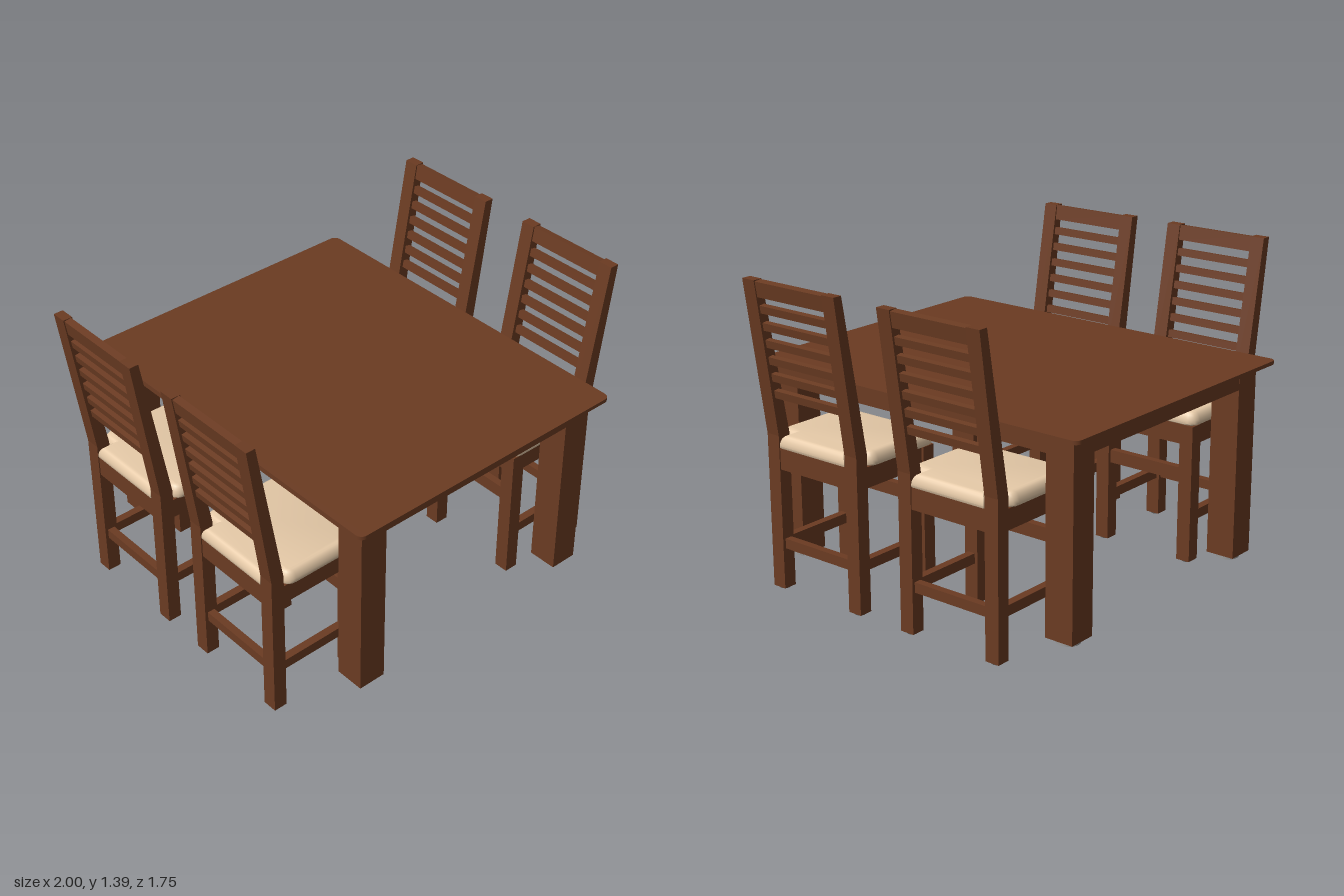
import * as THREE from 'three';
import { toCreasedNormals } from 'three/addons/utils/BufferGeometryUtils.js';

const mat = (name, color) => Object.assign(new THREE.MeshStandardMaterial({ color }), { name });
const wood = mat('brown wood', 0x6b3b22);
const fabric = mat('beige fabric', 0xe6caa8);
const steel = mat('grey metal', 0x9a9a9a);
const rubber = mat('dark rubber', 0x585858);

function add(parent, name, geometry, material) {
  const mesh = new THREE.Mesh(geometry, material);
  mesh.name = name;
  parent.add(mesh);
  return mesh;
}

// Box given by its limits on each axis
function box(parent, name, [x0, x1], [y0, y1], [z0, z1], material = wood) {
  const mesh = add(parent, name, new THREE.BoxGeometry(x1 - x0, y1 - y0, z1 - z0), material);
  mesh.position.set((x0 + x1) / 2, (y0 + y1) / 2, (z0 + z1) / 2);
  return mesh;
}

const polygon = (points) => new THREE.Shape(points.map(([x, y]) => new THREE.Vector2(x, y)));

function createTable() {
  const table = new THREE.Group();
  table.name = 'table';
  table.position.x = 0.046;

  // Top with rounded corners
  const w = 0.702, d = 0.875, r = 0.03;
  const outline = new THREE.Shape();
  outline.absarc(w - r, d - r, r, 0, Math.PI / 2);
  outline.absarc(-w + r, d - r, r, Math.PI / 2, Math.PI);
  outline.absarc(-w + r, -d + r, r, Math.PI, Math.PI * 1.5);
  outline.absarc(w - r, -d + r, r, Math.PI * 1.5, Math.PI * 2);
  const top = new THREE.ExtrudeGeometry(outline, { depth: 0.017, bevelEnabled: false, curveSegments: 6 });
  top.rotateX(-Math.PI / 2);
  add(table, 'tableTop', top, wood).position.y = 0.93;

  // Legs with round feet
  for (const sx of [-1, 1]) for (const sz of [-1, 1]) {
    const leg = add(table, 'tableLeg', new THREE.BoxGeometry(0.13, 0.86, 0.135), wood);
    leg.position.set(sx * 0.575, 0.5, sz * 0.745);
    const foot = add(table, 'tableFoot', new THREE.CylinderGeometry(0.05, 0.05, 0.022, 24), steel);
    foot.position.set(sx * 0.575, 0.06, sz * 0.745);
  }

  // Apron
  for (const s of [-1, 1]) {
    const end = add(table, 'endApron', new THREE.BoxGeometry(1.024, 0.087, 0.04), wood);
    end.position.set(0, 0.8865, s * 0.7915);
    const side = add(table, 'sideApron', new THREE.BoxGeometry(0.04, 0.087, 1.36), wood);
    side.position.set(s * 0.619, 0.8865, 0);
  }
  return table;
}

// Cushion notched around the rear legs, flat below and rounded above
function createCushion() {
  const inset = 0.03;
  const back = -0.9 + inset, notch = -0.83 + inset, front = -0.428 - inset;
  const narrow = 0.187 - inset, wide = 0.268 - inset, r = 0.02;
  const profile = new THREE.Shape();
  profile.moveTo(back, -narrow);
  profile.lineTo(notch, -narrow);
  profile.lineTo(notch, -wide + r);
  profile.quadraticCurveTo(notch, -wide, notch + r, -wide);
  profile.lineTo(front - r, -wide);
  profile.quadraticCurveTo(front, -wide, front, -wide + r);
  profile.lineTo(front, wide - r);
  profile.quadraticCurveTo(front, wide, front - r, wide);
  profile.lineTo(notch + r, wide);
  profile.quadraticCurveTo(notch, wide, notch, wide - r);
  profile.lineTo(notch, narrow);
  profile.lineTo(back, narrow);
  profile.closePath();
  const geometry = new THREE.ExtrudeGeometry(profile, {
    depth: 0.004, bevelThickness: 0.048, bevelSize: inset, bevelSegments: 6, curveSegments: 5 });
  geometry.rotateX(-Math.PI / 2);
  const p = geometry.attributes.position;
  for (let i = 0; i < p.count; i++) if (p.getY(i) < 0) p.setY(i, p.getY(i) * 0.28);
  return toCreasedNormals(geometry, 0.8);
}

// Chair with its back towards -x
function createChair() {
  const chair = new THREE.Group();
  chair.name = 'chair';
  const inner = [-0.192, 0.192];

  // Rear legs lean back above the seat
  const rear = new THREE.ExtrudeGeometry(
    polygon([[-0.9, 0.008], [-0.838, 0.008], [-0.838, 0.7], [-0.957, 1.387], [-1, 1.387], [-0.9, 0.7]]),
    { depth: 0.067, bevelEnabled: false });
  for (const z of [-0.258, 0.191]) {
    add(chair, 'rearLeg', rear, wood).position.z = z;
    box(chair, 'frontLeg', [-0.499, -0.435], [0.008, 0.64], [z, z + 0.067]);
    for (const x of [-0.869, -0.467]) {
      const glide = add(chair, 'legGlide', new THREE.CylinderGeometry(0.023, 0.023, 0.01, 16), rubber);
      glide.position.set(x, 0.005, z + 0.0335);
    }
  }

  // Seat rails and stretchers
  for (const z of [-0.223, 0.223]) {
    box(chair, 'sideRail', [-0.84, -0.495], [0.55, 0.64], [z - 0.025, z + 0.025]);
    box(chair, 'sideStretcher', [-0.84, -0.495], [0.187, 0.233], [z - 0.018, z + 0.018]);
  }
  box(chair, 'rearRail', [-0.895, -0.85], [0.55, 0.645], inner);
  box(chair, 'frontRail', [-0.485, -0.44], [0.55, 0.64], inner);
  box(chair, 'rearStretcher', [-0.886, -0.852], [0.19, 0.235], inner);
  box(chair, 'frontStretcher', [-0.484, -0.45], [0.375, 0.435], inner);
  box(chair, 'seatBase', [-0.85, -0.485], [0.615, 0.64], [-0.198, 0.198], fabric);
  add(chair, 'cushion', createCushion(), fabric).position.y = 0.652;

  // Top rail and slats follow the lean of the rear legs
  const lean = (y) => -0.87 - (y - 0.7) * 0.159;
  const bar = (name, y, height, thickness) => {
    const mesh = add(chair, name, new THREE.BoxGeometry(thickness, height, 0.384), wood);
    mesh.position.set(lean(y), y, 0);
    mesh.rotation.z = 0.158;
  };
  bar('topRail', 1.35, 0.068, 0.032);
  for (let i = 0; i < 6; i++) bar('backSlat', 1.262 - i * 0.075, 0.034, 0.025);
  return chair;
}

export function createModel() {
  const model = new THREE.Group();
  model.name = 'diningSet';
  model.add(createTable());
  // Two chairs on each long side
  for (const [z, turn] of [[-0.345, 0], [0.372, 0], [-0.358, Math.PI], [0.385, Math.PI]]) {
    const chair = createChair();
    chair.position.z = z;
    chair.rotation.y = turn;
    model.add(chair);
  }
  return model;
}
